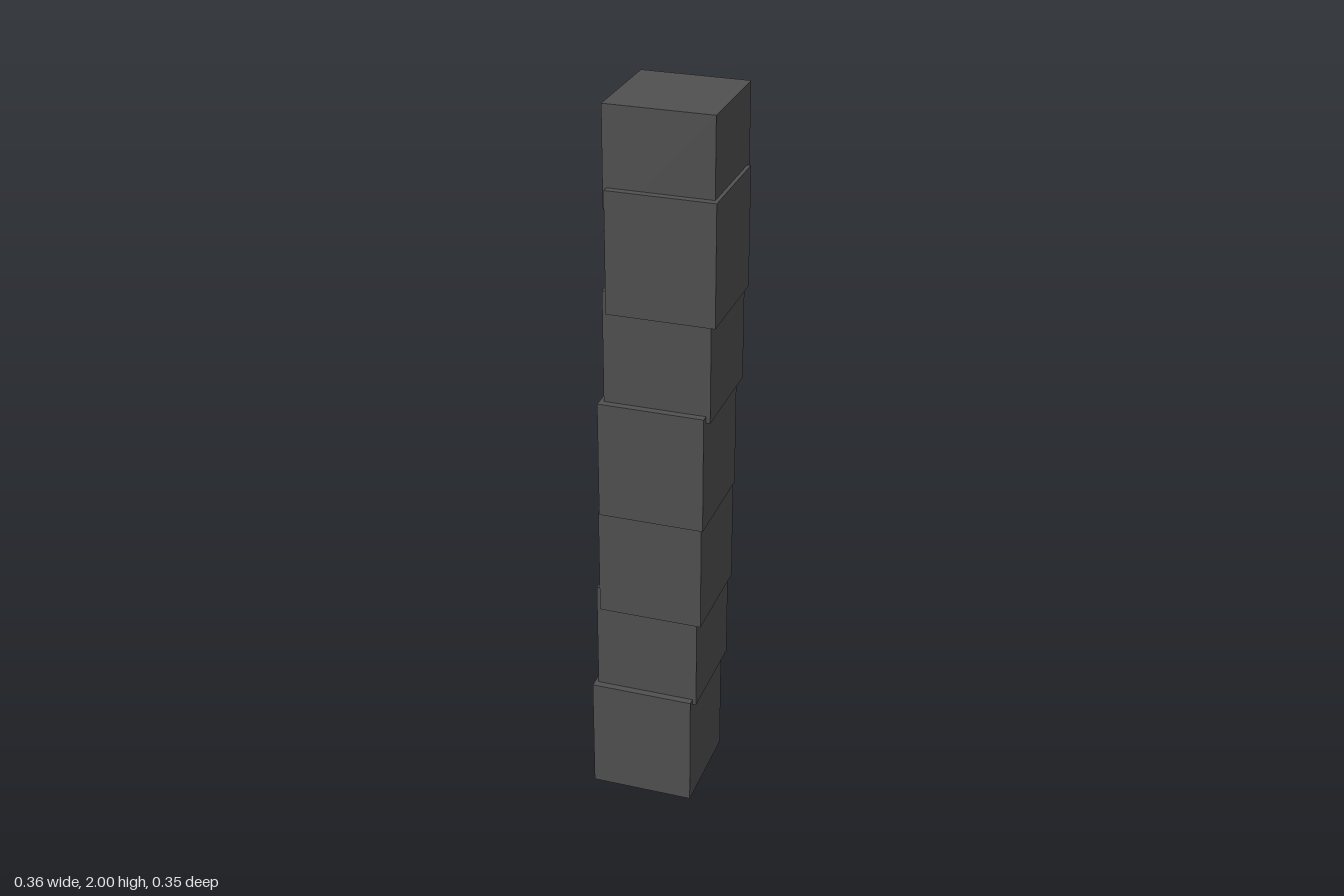
import * as THREE from 'three';

// A leaning stack of seven equal, slightly overlapping blocks.
const WIDTH = 0.284;
const HEIGHT = 0.323;

// Centre of each block, from bottom to top: x, y, z
const centres = [
  [-0.036, 0.1615, -0.012],
  [-0.026, 0.469, -0.032],
  [-0.006, 0.744, -0.002],
  [0.004, 1.05, 0.018],
  [0.015, 1.355, -0.002],
  [0.035, 1.63, 0.029],
  [0.025, 1.8385, 0.009],
];

export function createModel() {
  const group = new THREE.Group();
  group.name = 'blockStack';

  const darkGrey = new THREE.MeshStandardMaterial({ color: 0x505050 });
  darkGrey.name = 'darkGrey';

  const geometry = new THREE.BoxGeometry(WIDTH, HEIGHT, WIDTH);
  centres.forEach(([x, y, z], i) => {
    const block = new THREE.Mesh(geometry, darkGrey);
    block.name = `block${i + 1}`;
    block.position.set(x, y, z);
    group.add(block);
  });

  return group;
}
